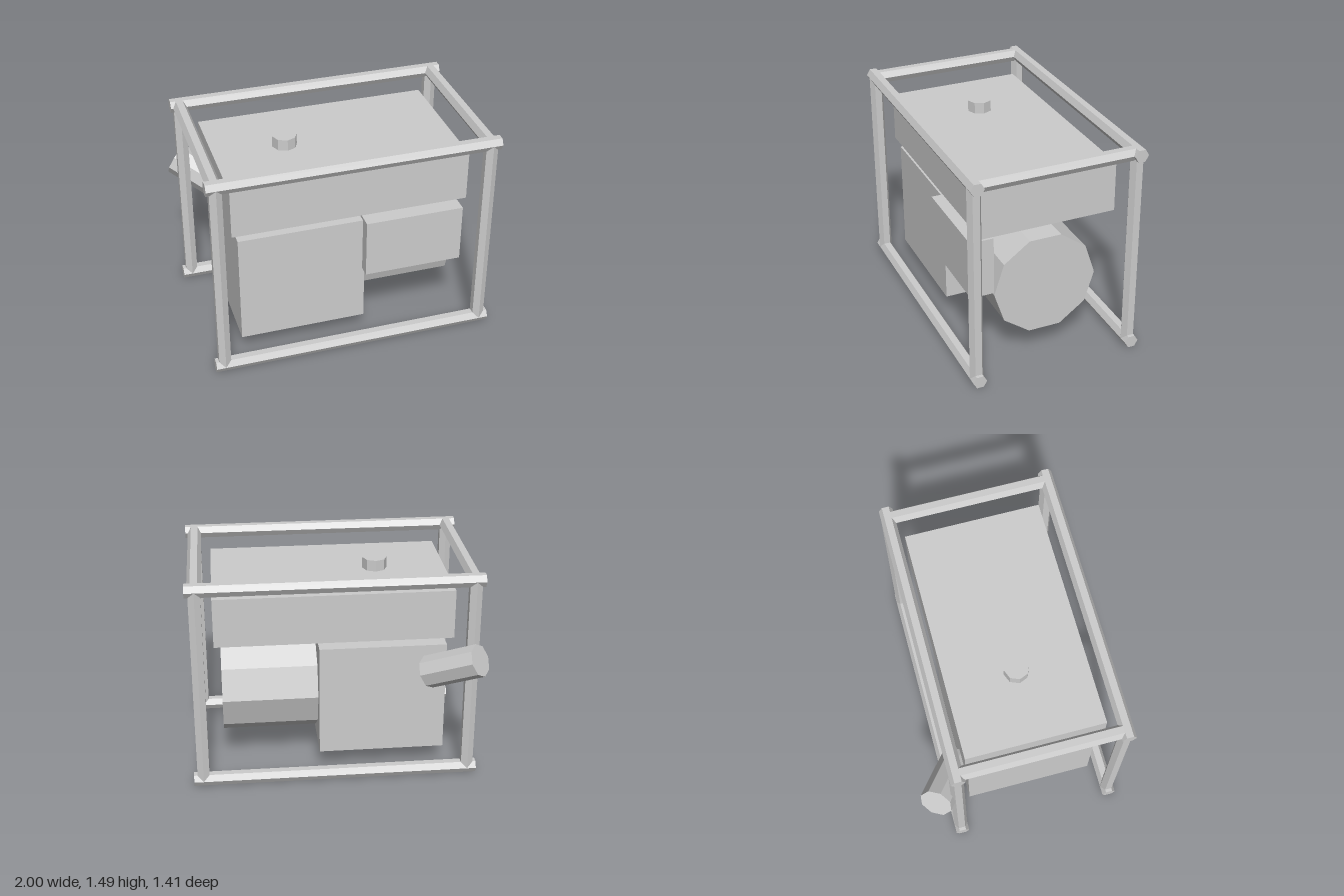
import * as THREE from 'three';

export function createModel() {
  const group = new THREE.Group();
  const gray = new THREE.MeshStandardMaterial({ color: 0xcccccc, flatShading: true });
  gray.name = 'light gray';

  function add(name, geometry) {
    const mesh = new THREE.Mesh(geometry, gray);
    mesh.name = name;
    group.add(mesh);
    return mesh;
  }

  // Box given by its lower and upper corners
  function box(name, min, max) {
    const size = max.map((v, i) => v - min[i]);
    add(name, new THREE.BoxGeometry(...size))
      .position.set(...max.map((v, i) => (v + min[i]) / 2));
  }

  // Hexagonal tubes: corners point to the sides, flats face up and down
  const tubeRadius = 0.0475;
  const postX = [-0.903, 0.935], railZ = [-0.4575, 0.6575];
  const lowY = 0.041, highY = 1.449;

  for (const z of railZ) {
    // Long rails at the bottom and top
    for (const y of [lowY, highY]) {
      const rail = new THREE.CylinderGeometry(tubeRadius, tubeRadius, 1.966, 6);
      rail.rotateZ(Math.PI / 2);
      add('frameRail', rail).position.set(0.017, y, z);
    }
    // Corner posts
    for (const x of postX) {
      const post = new THREE.CylinderGeometry(tubeRadius, tubeRadius, highY - lowY, 6);
      add('framePost', post).position.set(x, (lowY + highY) / 2, z);
    }
  }

  // Top cross bars
  for (const x of postX) {
    const bar = new THREE.CylinderGeometry(tubeRadius, tubeRadius, railZ[1] - railZ[0], 6);
    bar.rotateY(Math.PI / 2);
    bar.rotateX(Math.PI / 2);
    add('frameCrossBar', bar).position.set(x, highY, (railZ[0] + railZ[1]) / 2);
  }

  // Fuel tank and cap
  box('fuelTank', [-0.794, 0.998, -0.373], [0.826, 1.342, 0.571]);
  add('fuelCap', new THREE.CylinderGeometry(0.085, 0.085, 0.08, 8))
    .position.set(-0.306, 1.38, 0.1);

  // Engine block and control box
  box('engineBlock', [-0.751, 0.147, -0.35], [0.12, 0.939, 0.547]);
  box('controlBox', [0.104, 0.55, 0.464], [0.783, 0.96, 0.627]);

  // Ten-sided alternator drum lying along x
  const drum = new THREE.CylinderGeometry(0.364, 0.364, 0.683, 10);
  drum.rotateZ(Math.PI / 2);
  add('alternator', drum).position.set(0.4415, 0.53, 0.099);

  // Tilted exhaust muffler
  const direction = new THREE.Vector3(-0.73, 0.43, -0.53).normalize();
  const outerEnd = new THREE.Vector3(-0.925, 0.937, -0.612);
  const length = 0.415;
  const muffler = add('muffler', new THREE.CylinderGeometry(0.113, 0.113, length, 8));
  muffler.quaternion.setFromUnitVectors(new THREE.Vector3(0, 1, 0), direction);
  muffler.position.copy(outerEnd).addScaledVector(direction, -length / 2);

  return group;
}
